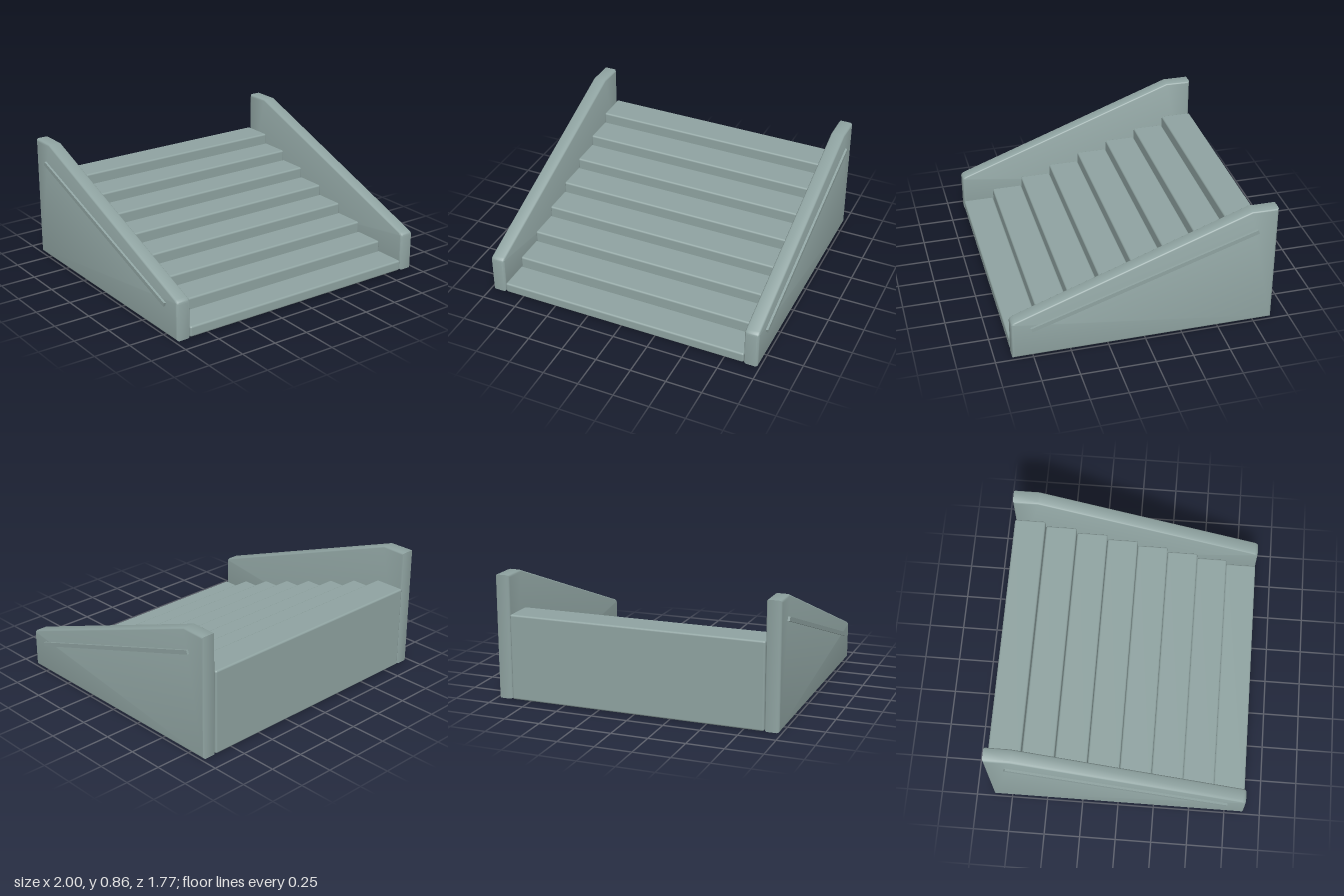
import * as THREE from 'three';
import { toCreasedNormals } from 'three/addons/utils/BufferGeometryUtils.js';
import { RoundedBoxGeometry } from 'three/addons/geometries/RoundedBoxGeometry.js';

const STEPS = 8;
const HALF = 0.885; // half width of the flight and half its depth
const RISE = 0.59 / STEPS;
const RUN = (2 * HALF) / STEPS;

export function createModel() {
  const model = new THREE.Group();
  model.name = 'staircase';
  const stone = new THREE.MeshStandardMaterial({ color: 0x8fa3a1 });
  stone.name = 'grey green stone';

  const add = (name, geometry, x, y, z) => {
    const mesh = new THREE.Mesh(geometry, stone);
    mesh.name = name;
    mesh.position.set(x, y, z);
    model.add(mesh);
    return mesh;
  };

  // Solid steps, each one a block reaching the ground, rising to the back
  for (let i = 0; i < STEPS; i++) {
    const height = RISE * (i + 1);
    const block = new RoundedBoxGeometry(2 * HALF, height, RUN, 3, 0.013);
    add(`step${i + 1}`, block, 0, height / 2, HALF - RUN * (i + 0.5));
  }

  // Sloping side wall, drawn in (z, y) with softly rounded edges
  const bevel = 0.017;
  const profile = new THREE.Shape();
  profile.moveTo(-0.88, 0);
  profile.lineTo(HALF, 0);
  profile.lineTo(HALF, 0.25);
  profile.quadraticCurveTo(HALF, 0.265, 0.86, 0.276);
  profile.lineTo(-0.7, 0.855);
  profile.lineTo(-0.88, 0.855);
  profile.closePath();
  const extruded = new THREE.ExtrudeGeometry(profile, {
    depth: 0.1 - 2 * bevel, curveSegments: 4,
    bevelThickness: bevel, bevelSize: bevel, bevelOffset: -bevel, bevelSegments: 4,
  });
  extruded.rotateY(-Math.PI / 2);
  extruded.center();
  const wall = toCreasedNormals(extruded, 0.6);

  // Thin raised rail along the outside of each wall
  const rail = new THREE.BoxGeometry(0.03, 0.028, 1.585);

  for (const [side, s] of [['left', 1], ['right', -1]]) {
    add(`${side}Wall`, wall, s * 0.935, 0.4275, 0.0025);
    const strip = add(`${side}Rail`, rail, s * 0.985, 0.459, 0.005);
    strip.rotation.x = Math.atan2(0.5, 1.5);
  }
  return model;
}
